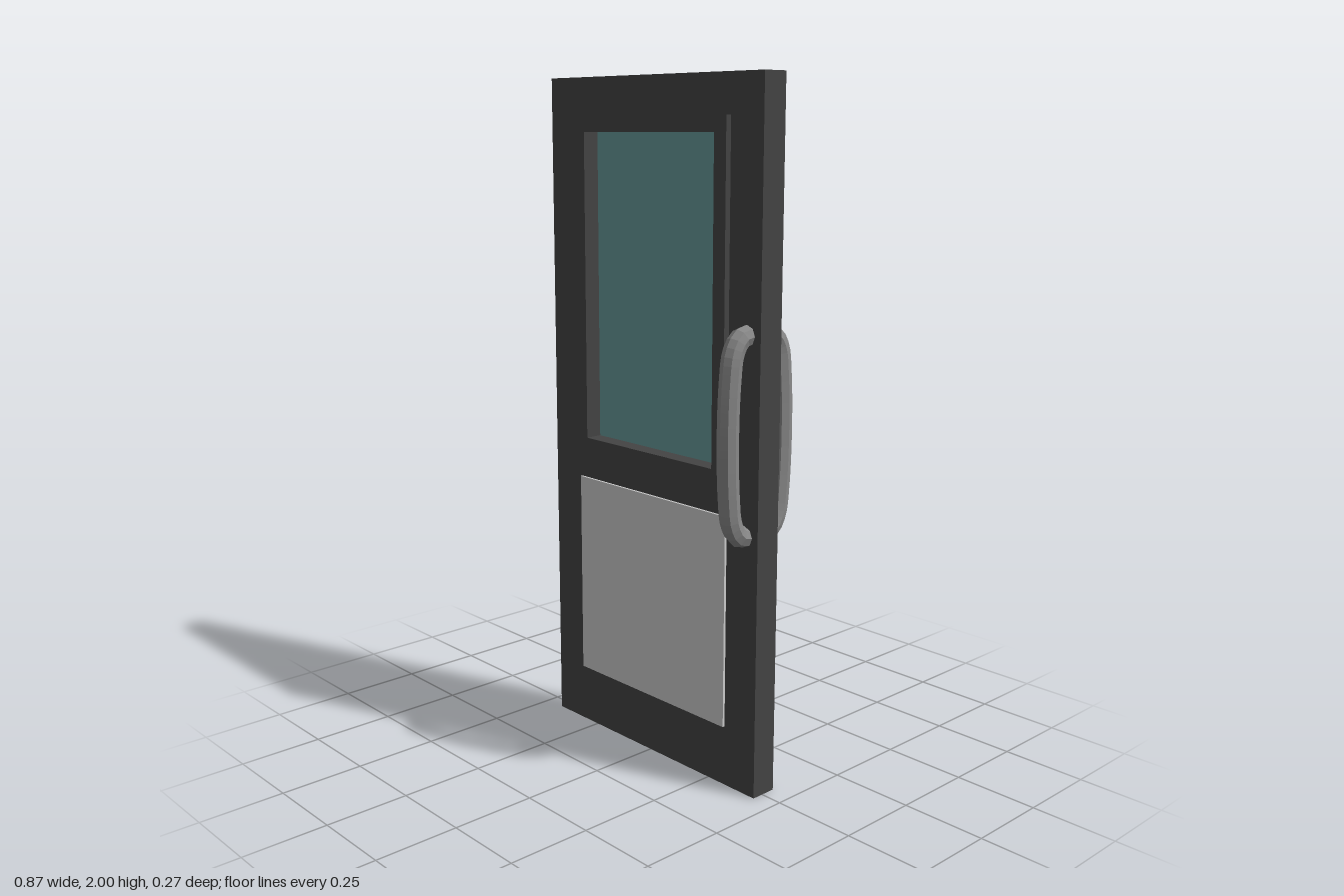
import * as THREE from 'three';

const material = (color, extra = {}) => new THREE.MeshStandardMaterial({ color, ...extra });

// Extruded rectangle with rectangular openings, centred in depth on z
function panel(name, [x0, x1, y0, y1], holes, depth, z, mat) {
  const trace = (path, [a, b, c, d]) => {
    path.moveTo(a, c);
    path.lineTo(b, c);
    path.lineTo(b, d);
    path.lineTo(a, d);
    path.closePath();
    return path;
  };
  const shape = trace(new THREE.Shape(), [x0, x1, y0, y1]);
  for (const h of holes) shape.holes.push(trace(new THREE.Path(), h));
  const geometry = new THREE.ExtrudeGeometry(shape, { depth, bevelEnabled: false });
  geometry.translate(0, 0, z - depth / 2);
  const mesh = new THREE.Mesh(geometry, mat);
  mesh.name = name;
  return mesh;
}

export function createModel() {
  const door = new THREE.Group();
  door.name = 'door';
  const dark = material(0x444444);
  const steel = material(0x888888, { flatShading: true });
  const midZ = -0.0045;
  const opening = [-0.265, 0.27, 0.935, 1.845];

  // Slab with the window opening cut right through
  door.add(panel('doorSlab', [-0.433, 0.433, 0, 2], [opening], 0.08, midZ, dark));

  // Raised window trim, proud of the slab on both faces
  door.add(panel('windowTrim', [-0.31, 0.315, 0.885, 1.89], [opening], 0.115, midZ, dark));

  // Glass set in the middle of the opening
  door.add(panel('windowGlass', opening, [], 0.012, midZ, material(0x669999)));

  // Kick plate showing on both faces
  door.add(panel('kickPlate', [-0.31, 0.315, 0.18, 0.805], [], 0.095, midZ, material(0xcccccc)));

  // Bowed pull handles, one on each face
  const profile = [
    [0.02, 1.317], [0.06, 1.312], [0.087, 1.277], [0.099, 1.2], [0.105, 1.04],
    [0.099, 0.88], [0.087, 0.803], [0.06, 0.766], [0.02, 0.761],
  ];
  for (const [side, name] of [[1, 'frontHandle'], [-1, 'backHandle']]) {
    const points = profile.map(([z, y]) => new THREE.Vector3(0.382, y, side * z - 0.002));
    const path = new THREE.CatmullRomCurve3(points);
    const handle = new THREE.Mesh(new THREE.TubeGeometry(path, 32, 0.03, 8), steel);
    handle.name = name;
    door.add(handle);
  }
  return door;
}
